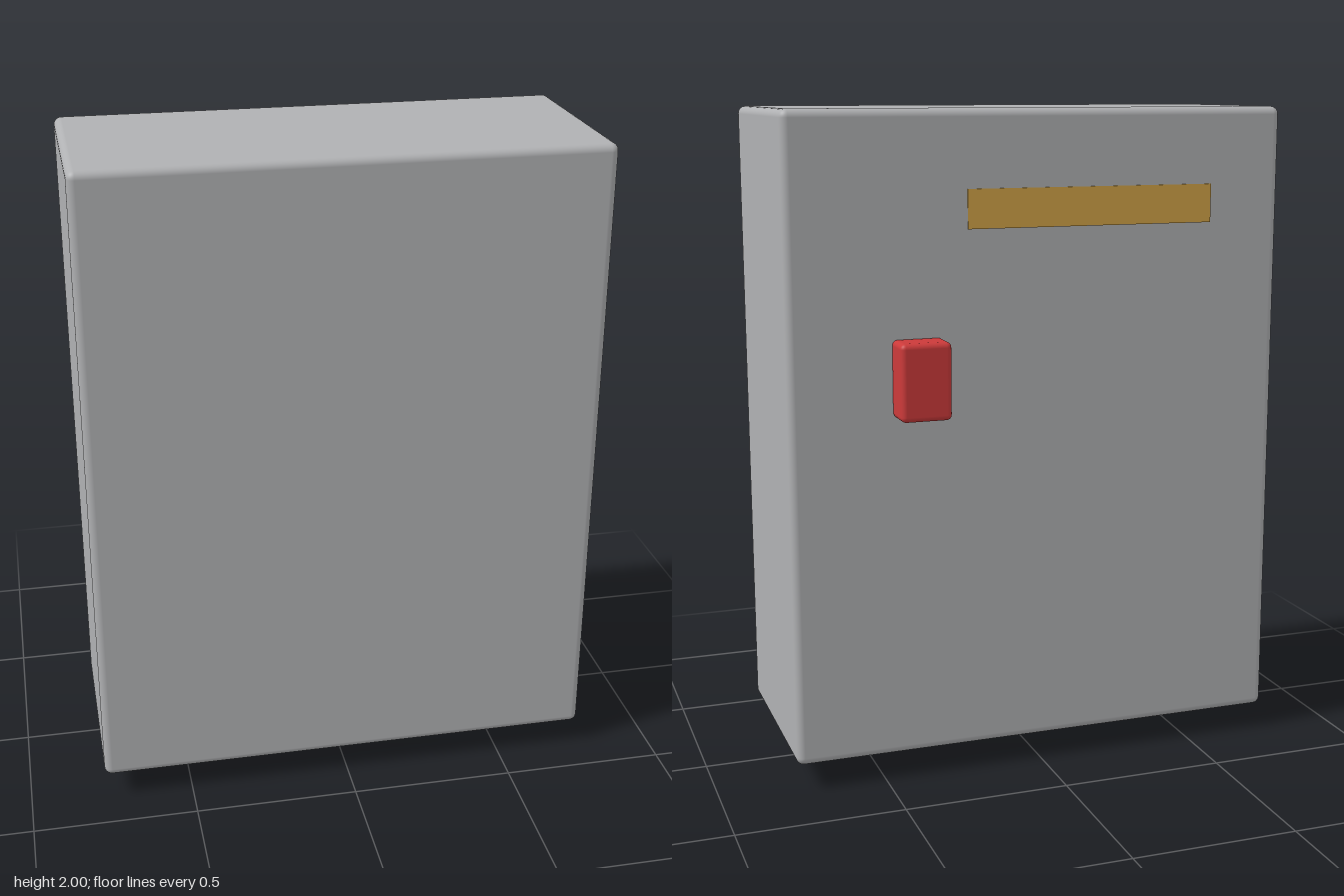
import * as THREE from 'three';
import { RoundedBoxGeometry } from 'three/addons/geometries/RoundedBoxGeometry.js';

const material = (name, color) => {
  const m = new THREE.MeshStandardMaterial({ color });
  m.name = name;
  return m;
};

export function createModel() {
  const group = new THREE.Group();
  const grey = material('caseGrey', 0xb0b1b3);
  const red = material('red', 0xcc3a3a);
  const black = material('black', 0x2b2b2b);
  const gold = material('gold', 0xd2a448);

  const add = (name, geometry, mat, x, y, z) => {
    const mesh = new THREE.Mesh(geometry, mat);
    mesh.name = name;
    mesh.position.set(x, y, z);
    group.add(mesh);
  };

  // Main enclosure, slightly rounded
  add('case', new RoundedBoxGeometry(1.54, 1.923, 0.652, 4, 0.024), grey, 0, 1.0385, 0.049);

  // Rear power switch and name plate
  add('switch', new RoundedBoxGeometry(0.152, 0.228, 0.108, 3, 0.016), red, 0.385, 1.232, -0.321);
  add('plate', new THREE.BoxGeometry(0.77, 0.115, 0.009), gold, -0.155, 1.714, -0.2765);

  // Row of alternating terminals under the case
  const terminal = new THREE.CylinderGeometry(0.026, 0.026, 0.09, 16);
  for (let i = 0; i < 16; i++) {
    const isRed = i % 2 === 0;
    add(isRed ? 'redTerminal' : 'blackTerminal', terminal, isRed ? red : black,
      -0.66 + i * 0.058, 0.045, 0.05);
  }

  // Small indicator studs
  [[0.423, 0.012], [0.54, 0.012], [0.655, 0.015]].forEach(([x, r]) => {
    add('stud', new THREE.CylinderGeometry(r, r, 0.024, 16), grey, x, 0.074, 0.05);
  });

  return group;
}
